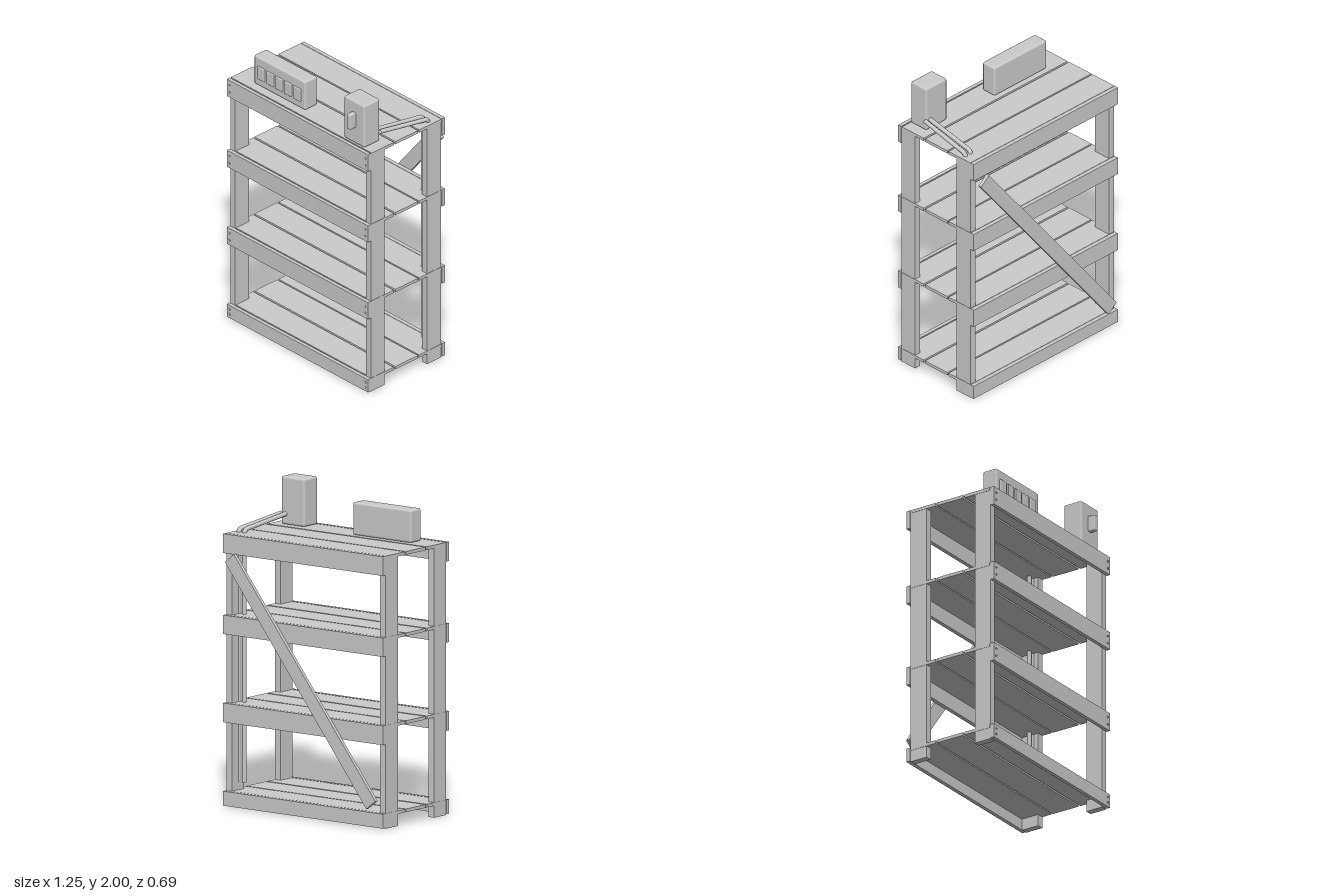
import * as THREE from 'three';
import { RoundedBoxGeometry } from 'three/addons/geometries/RoundedBoxGeometry.js';

const material = new THREE.MeshStandardMaterial({ color: 0xcccccc });

// Adds a mesh to its parent under a plain name
function add(parent, name, geometry, x = 0, y = 0, z = 0) {
  const mesh = new THREE.Mesh(geometry, material);
  mesh.name = name;
  mesh.position.set(x, y, z);
  parent.add(mesh);
  return mesh;
}

// Box given by its limits on each axis
function span(parent, name, [x0, x1], [y0, y1], [z0, z1], radius = 0) {
  const size = [x1 - x0, y1 - y0, z1 - z0];
  const geometry = radius
    ? new RoundedBoxGeometry(...size, 2, radius)
    : new THREE.BoxGeometry(...size);
  return add(parent, name, geometry, (x0 + x1) / 2, (y0 + y1) / 2, (z0 + z1) / 2);
}

export function createModel() {
  const model = new THREE.Group();
  const rack = new THREE.Group();
  rack.name = 'rack';
  model.add(rack);

  // Four upright posts
  for (const side of [-1, 1]) {
    for (const z of [[0.19, 0.308], [-0.287, -0.168]]) {
      const x = side < 0 ? [-0.625, -0.581] : [0.581, 0.625];
      span(rack, 'post', x, [0, 1.695], z);
    }
  }

  // Shelves: three planks each, with a rail in front and behind
  const levels = [[0.005, 0.095], [0.525, 0.645], [1.075, 1.193], [1.58, 1.7]];
  const nail = new THREE.CylinderGeometry(0.007, 0.007, 0.006, 8).rotateX(Math.PI / 2);
  for (const [low, high] of levels) {
    for (const z of [[-0.289, -0.1], [-0.09, 0.102], [0.115, 0.302]]) {
      span(rack, 'plank', [-0.627, 0.627], [high - 0.02, high], z);
    }
    span(rack, 'frontRail', [-0.627, 0.627], [low, high], [0.31, 0.334]);
    span(rack, 'backRail', [-0.627, 0.627], [low, high], [-0.318, -0.292]);
    for (const x of [-0.604, 0.604]) {
      for (const t of [0.3, 0.7]) {
        add(rack, 'nail', nail, x, low + (high - low) * t, 0.336);
      }
    }
  }

  // Diagonal brace across the back
  const brace = add(rack, 'brace', new THREE.BoxGeometry(1.797, 0.09, 0.023), 0, 0.853, -0.3335);
  brace.rotation.z = 0.905;

  // Long unit with a row of five raised tabs
  const strip = new THREE.Group();
  strip.name = 'socketUnit';
  model.add(strip);
  span(strip, 'housing', [-0.477, -0.02], [1.7, 1.905], [0.145, 0.25], 0.014);
  for (let i = 0; i < 5; i++) {
    const x = -0.41 + i * 0.08;
    span(strip, 'tab', [x - 0.033, x + 0.033], [1.75, 1.84], [0.24, 0.259], 0.006);
  }

  // Upright switch unit with a lever
  const control = new THREE.Group();
  control.name = 'switchUnit';
  model.add(control);
  span(control, 'housing', [0.373, 0.556], [1.7, 2.0], [0.163, 0.297], 0.014);
  span(control, 'lever', [0.446, 0.48], [1.815, 1.92], [0.28, 0.345], 0.008);

  // Two cables run back over the top shelf, then drop behind
  for (const [x0, x1] of [[0.52, 0.545], [0.558, 0.589]]) {
    const path = new THREE.CurvePath();
    const start = new THREE.Vector3(x0, 1.768, 0.17);
    const bend = new THREE.Vector3(x1, 1.722, -0.18);
    const corner = new THREE.Vector3(x1, 1.72, -0.21);
    const drop = new THREE.Vector3(x1, 1.69, -0.21);
    path.add(new THREE.LineCurve3(start, bend));
    path.add(new THREE.QuadraticBezierCurve3(bend, corner, drop));
    path.add(new THREE.LineCurve3(drop, new THREE.Vector3(x1, 0.145, -0.21)));
    add(model, 'cable', new THREE.TubeGeometry(path, 160, 0.014, 10));
    // Closed lower end
    const cap = new THREE.CircleGeometry(0.014, 10).rotateX(Math.PI / 2);
    add(model, 'cableEnd', cap, x1, 0.145, -0.21);
  }

  return model;
}
